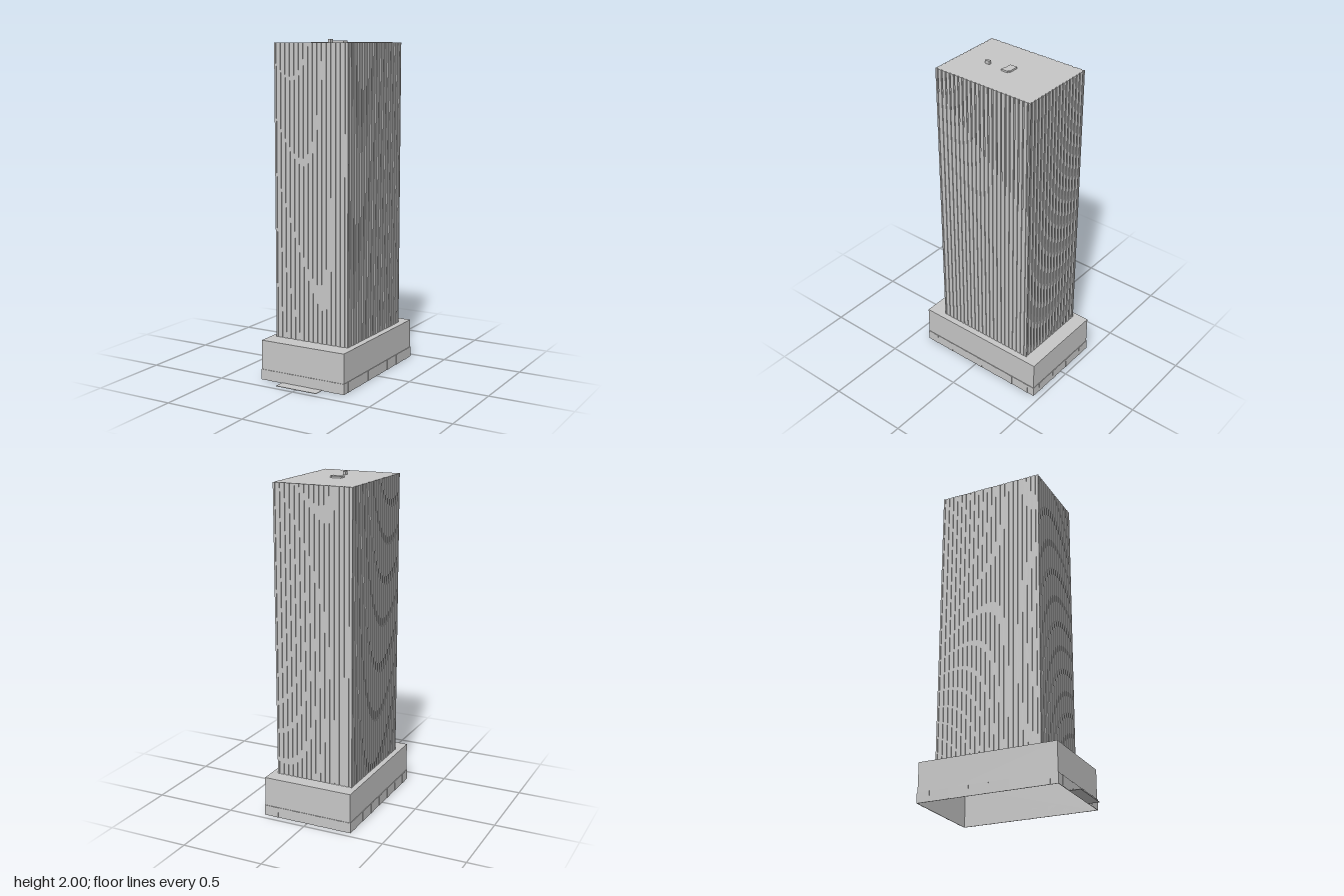
import * as THREE from 'three';

export function createModel() {
  const model = new THREE.Group();
  model.name = 'officeTower';
  const concrete = new THREE.MeshStandardMaterial({ color: 0xc7c7c7, side: THREE.DoubleSide });
  concrete.name = 'concreteGrey';

  function add(name, geometry, parent = model) {
    const mesh = new THREE.Mesh(geometry, concrete);
    mesh.name = name;
    parent.add(mesh);
    return mesh;
  }
  // box from its limits on each axis
  function box(name, x0, x1, y0, y1, z0, z1, parent) {
    const mesh = add(name, new THREE.BoxGeometry(x1 - x0, y1 - y0, z1 - z0), parent);
    mesh.position.set((x0 + x1) / 2, (y0 + y1) / 2, (z0 + z1) / 2);
    return mesh;
  }

  // podium: a box left open underneath
  const P = { x0: -0.279, x1: 0.279, z0: -0.458, z1: 0.394, top: 0.24 };
  const podium = box('podium', P.x0, P.x1, 0, P.top, P.z0, P.z1);
  const index = Array.from(podium.geometry.index.array);
  index.splice(18, 6);
  podium.geometry.setIndex(index);
  podium.geometry.clearGroups();

  // ground floor: wide panels between narrow piers that stand slightly further out
  const groundFloor = new THREE.Group();
  groundFloor.name = 'groundFloor';
  model.add(groundFloor);
  const H = 0.063, PANEL = 0.003, PIER = 0.005, HALF = 0.017;
  function wallRow(piers, start, end, place) {
    const pitch = (end - start) / piers;
    let from = start - PANEL;
    for (let i = 0; i < piers; i++) {
      const mid = start + (i + 0.5) * pitch;
      place('Panel', from, mid - HALF, PANEL);
      place('Pier', mid - HALF, mid + HALF, PIER);
      from = mid + HALF;
    }
    place('Panel', from, end + PANEL, PANEL);
  }
  wallRow(4, P.x0, P.x1, (part, a, b, t) => {
    box('front' + part, a, b, 0, H, P.z1, P.z1 + t, groundFloor);
    box('back' + part, a, b, 0, H, P.z0 - t, P.z0, groundFloor);
  });
  wallRow(7, P.z0, P.z1, (part, a, b, t) => {
    box('left' + part, P.x1, P.x1 + t, 0, H, a, b, groundFloor);
    box('right' + part, P.x0 - t, P.x0, 0, H, a, b, groundFloor);
  });

  // shaft: rectangular plan with regular vertical grooves
  const X0 = -0.246, X1 = 0.241, Z0 = -0.369, Z1 = 0.284, DEPTH = 0.005;
  const corners = [[X0, -Z1], [X1, -Z1], [X1, -Z0], [X0, -Z0]];
  const bays = [16, 22, 16, 22];
  const plan = [];
  corners.forEach(([ax, ay], side) => {
    const [bx, by] = corners[(side + 1) % 4];
    const length = Math.hypot(bx - ax, by - ay);
    const ux = (bx - ax) / length, uy = (by - ay) / length;
    const pitch = length / bays[side], groove = pitch * 0.3;
    const point = (along, inward) =>
      plan.push(new THREE.Vector2(ax + ux * along - uy * inward, ay + uy * along + ux * inward));
    point(0, 0);
    for (let i = 0; i < bays[side]; i++) {
      const mid = (i + 0.5) * pitch;
      point(mid - groove / 2, 0);
      point(mid - groove / 2, DEPTH);
      point(mid + groove / 2, DEPTH);
      point(mid + groove / 2, 0);
    }
  });
  const shaft = new THREE.ExtrudeGeometry(new THREE.Shape(plan), { depth: 1.98 - P.top, bevelEnabled: false });
  shaft.rotateX(-Math.PI / 2);
  add('shaft', shaft).position.y = P.top;

  // rooftop plant
  box('roofPlantLarge', -0.032, 0.03, 1.98, 1.99, -0.069, -0.022);
  box('roofPlantSide', 0.03, 0.042, 1.98, 1.99, -0.06, -0.017);
  box('roofPlantStep', 0.015, 0.03, 1.98, 1.99, -0.022, -0.017);
  box('roofVent', 0.01, 0.027, 1.98, 2, 0.08, 0.11);

  // entrance slab
  box('entranceSlab', -0.137, 0.136, 0, 0.003, P.z1 + PANEL, 0.463);

  return model;
}
